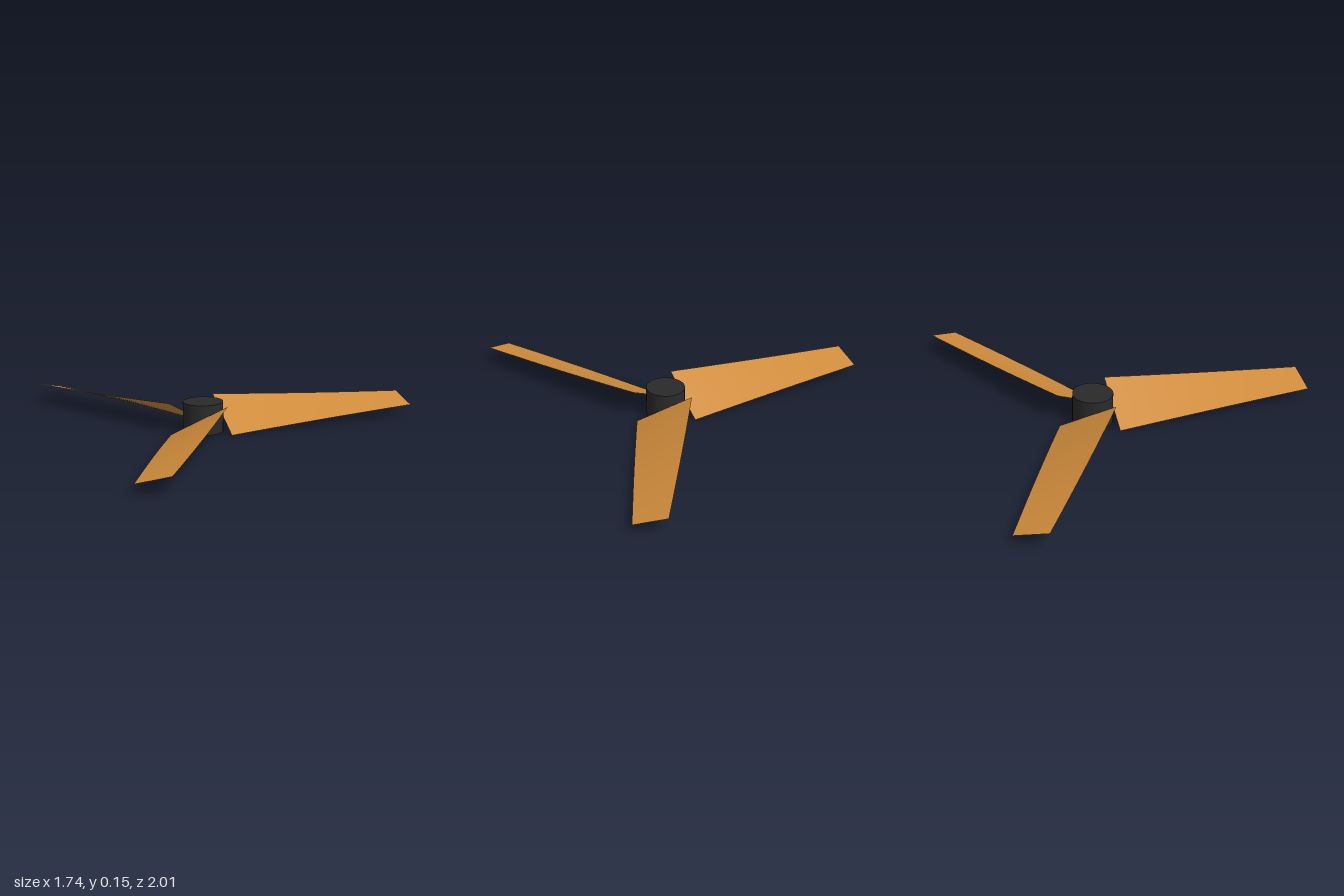
import * as THREE from 'three';

const HUB_X = -0.245, HUB_R = 0.1, HUB_H = 0.15;
const BLADES = 3, LENGTH = 1.01;

// Thin blade along +x: chord and pitch both ease off from root to tip
function bladeGeometry() {
  const geo = new THREE.PlaneGeometry(1, 1, 16, 4);
  geo.rotateX(-Math.PI / 2);
  const pos = geo.attributes.position;
  for (let i = 0; i < pos.count; i++) {
    const t = pos.getX(i) + 0.5;
    const across = pos.getZ(i);
    const chord = THREE.MathUtils.lerp(0.318, 0.17, t);
    const pitch = THREE.MathUtils.degToRad(THREE.MathUtils.lerp(28, 14, t));
    pos.setXYZ(i,
      HUB_R + t * LENGTH,
      -across * chord * Math.sin(pitch),
      across * chord * Math.cos(pitch));
  }
  geo.computeVertexNormals();
  return geo;
}

export function createModel() {
  const model = new THREE.Group();
  model.name = 'threeBladeRotor';

  const hubMat = new THREE.MeshStandardMaterial({ color: 0x2a2a2a });
  hubMat.name = 'charcoal';
  const bladeMat = new THREE.MeshStandardMaterial({ color: 0xd08c3c, side: THREE.DoubleSide });
  bladeMat.name = 'warmWood';

  const rotor = new THREE.Group();
  rotor.name = 'rotor';
  rotor.position.set(HUB_X, HUB_H / 2, 0);
  model.add(rotor);

  // Central hub
  const hub = new THREE.Mesh(new THREE.CylinderGeometry(HUB_R, HUB_R, HUB_H, 32), hubMat);
  hub.name = 'hub';
  rotor.add(hub);

  // Blades, evenly spaced around the hub
  const geo = bladeGeometry();
  for (let i = 0; i < BLADES; i++) {
    const blade = new THREE.Mesh(geo, bladeMat);
    blade.name = `blade${i + 1}`;
    blade.rotation.y = (i * Math.PI * 2) / BLADES;
    rotor.add(blade);
  }
  return model;
}
